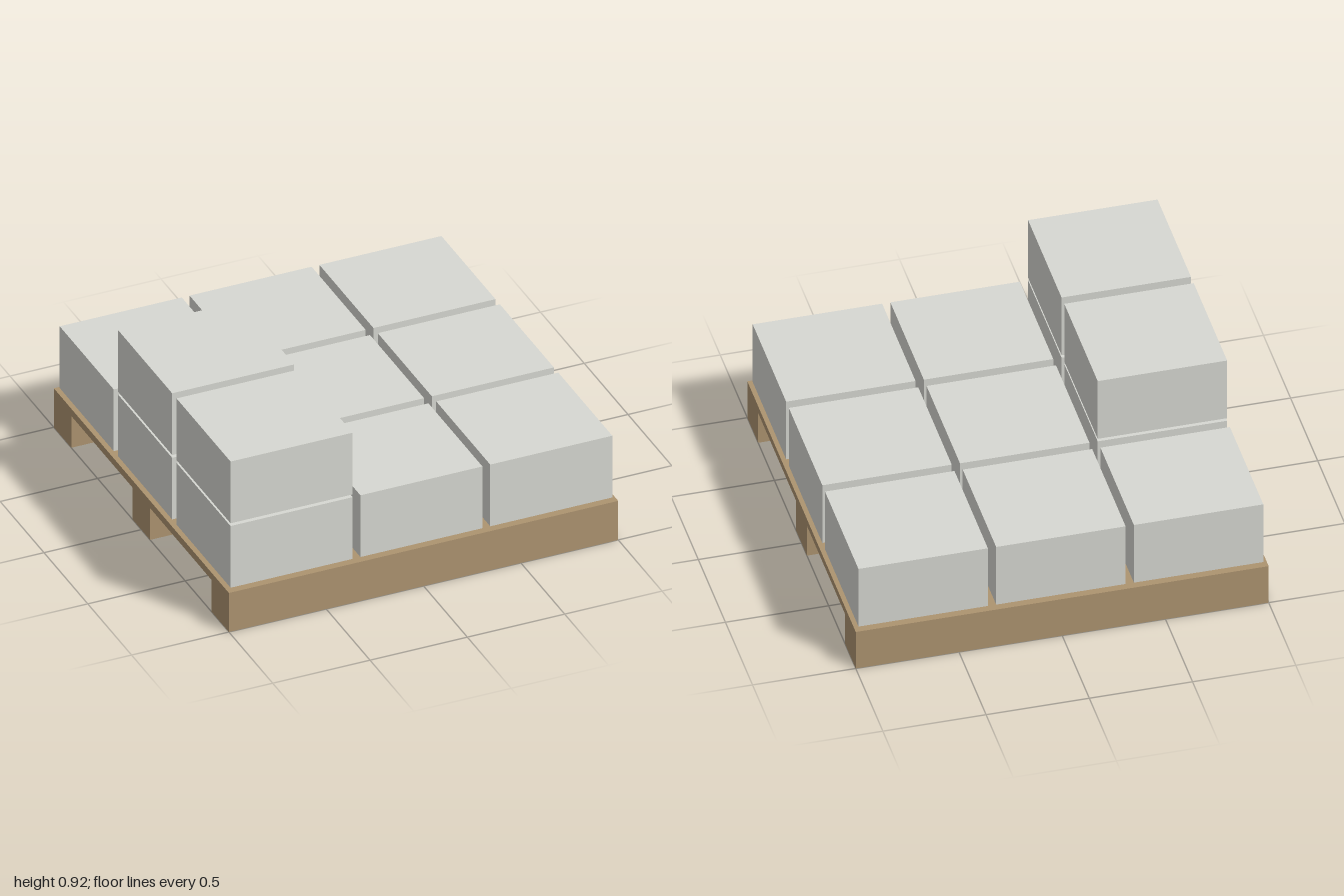
import * as THREE from 'three';

const wood = new THREE.MeshStandardMaterial({ color: 0xad9470 });
const card = new THREE.MeshStandardMaterial({ color: 0xd7d8d2 });

// Box placed by its base height
function block(name, material, [w, h, d], [x, base, z]) {
  const mesh = new THREE.Mesh(new THREE.BoxGeometry(w, h, d), material);
  mesh.name = name;
  mesh.position.set(x, base + h / 2, z);
  return mesh;
}

export function createModel() {
  const model = new THREE.Group();
  model.name = 'loadedPallet';

  // Pallet: a thin deck on three full-width runners
  const pallet = new THREE.Group();
  pallet.name = 'pallet';
  pallet.add(block('deck', wood, [2, 0.04, 2], [0, 0.175, 0]));
  for (const z of [-0.9, 0, 0.9]) {
    pallet.add(block('runner', wood, [2, 0.175, 0.2], [0, 0, z]));
  }
  model.add(pallet);

  // Cargo: a full 3 x 3 layer, then two boxes stacked on the right side
  const cargo = new THREE.Group();
  cargo.name = 'cargo';
  const size = [0.627, 0.34, 0.617];
  const pitch = 0.667;
  for (let col = -1; col <= 1; col++) {
    for (let row = -1; row <= 1; row++) {
      cargo.add(block('lowerBox', card, size, [col * pitch, 0.225, row * pitch]));
    }
  }
  for (const row of [0, 1]) {
    cargo.add(block('upperBox', card, size, [-pitch, 0.58, row * pitch]));
  }
  model.add(cargo);

  return model;
}
